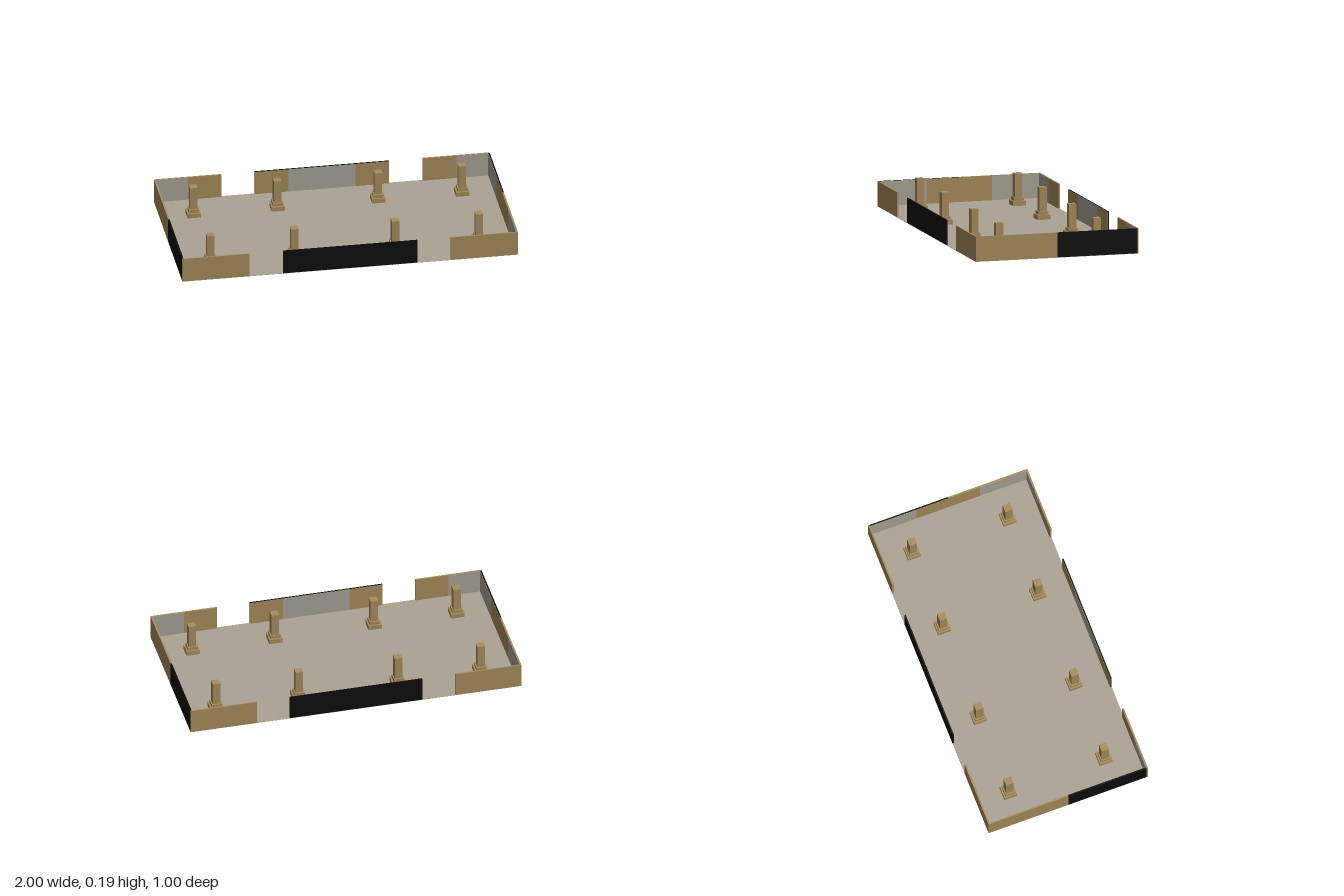
import * as THREE from 'three';

export function createModel() {
  const model = new THREE.Group();
  const material = (name, color) => {
    const m = new THREE.MeshStandardMaterial({ color });
    m.name = name;
    return m;
  };
  const tan = material('tan', 0xa88e5c);
  const black = material('black', 0x0d0d0d);
  const floorGrey = material('floor grey', 0xaca495);
  const panelGrey = material('panel grey', 0xa9a599);

  const F = 0.002; // floor thickness
  const H = 0.15;  // wall height
  const T = 0.008; // wall thickness
  const P = 0.002; // inner panel thickness

  const box = (parent, name, mat, w, h, d, x, y, z) => {
    const mesh = new THREE.Mesh(new THREE.BoxGeometry(w, h, d), mat);
    mesh.name = name;
    mesh.position.set(x, y + h / 2, z);
    parent.add(mesh);
  };

  box(model, 'floor', floorGrey, 2, F, 1, 0, 0, 0);

  // Each half holds the front wall and the right-hand (+x at front) end wall
  for (const turn of [0, Math.PI]) {
    const half = new THREE.Group();
    half.name = turn ? 'backWalls' : 'frontWalls';
    half.rotation.y = turn;
    model.add(half);

    // Long wall: three sections with openings between them
    for (const [a, b, mat] of [[-1, -0.6, tan], [-0.4, 0.4, black], [0.6, 1, tan]]) {
      box(half, 'longWall', mat, b - a, H - F, T, (a + b) / 2, F, 0.5 - T / 2);
    }
    // Inner panels of the long wall
    for (const [a, b, mat] of [
      [-0.99, -0.8, panelGrey], [-0.8, -0.6, tan],
      [-0.4, -0.2, tan], [-0.2, 0.2, panelGrey], [0.2, 0.4, tan],
      [0.6, 0.8, tan], [0.8, 0.99, panelGrey],
    ]) {
      box(half, 'longWallPanel', mat, b - a, H - F - 0.001, P, (a + b) / 2, F, 0.5 - T - P / 2);
    }

    // End wall: one tan half and one black half
    for (const [a, b, mat] of [[0, 0.5 - T, tan], [-0.5 + T, 0, black]]) {
      box(half, 'endWall', mat, T, H - F, b - a, 1 - T / 2, F, (a + b) / 2);
    }
    // Inner panels of the end wall
    for (const [a, b, mat] of [[-0.49, -0.2, panelGrey], [-0.2, 0.2, tan], [0.2, 0.49, panelGrey]]) {
      box(half, 'endWallPanel', mat, P, H - F - 0.001, b - a, 1 - T - P / 2, F, (a + b) / 2);
    }
  }

  // Two rows of square pillars on stepped bases
  for (const z of [-0.3, 0.3]) {
    for (const x of [-0.8, -0.3, 0.3, 0.8]) {
      const pillar = new THREE.Group();
      pillar.name = 'pillar';
      pillar.position.set(x, F, z);
      box(pillar, 'lowerBase', tan, 0.08, 0.028, 0.08, 0, 0, 0);
      box(pillar, 'upperBase', tan, 0.06, 0.02, 0.06, 0, 0.028, 0);
      box(pillar, 'shaft', tan, 0.045, 0.142, 0.045, 0, 0.048, 0);
      model.add(pillar);
    }
  }
  return model;
}
